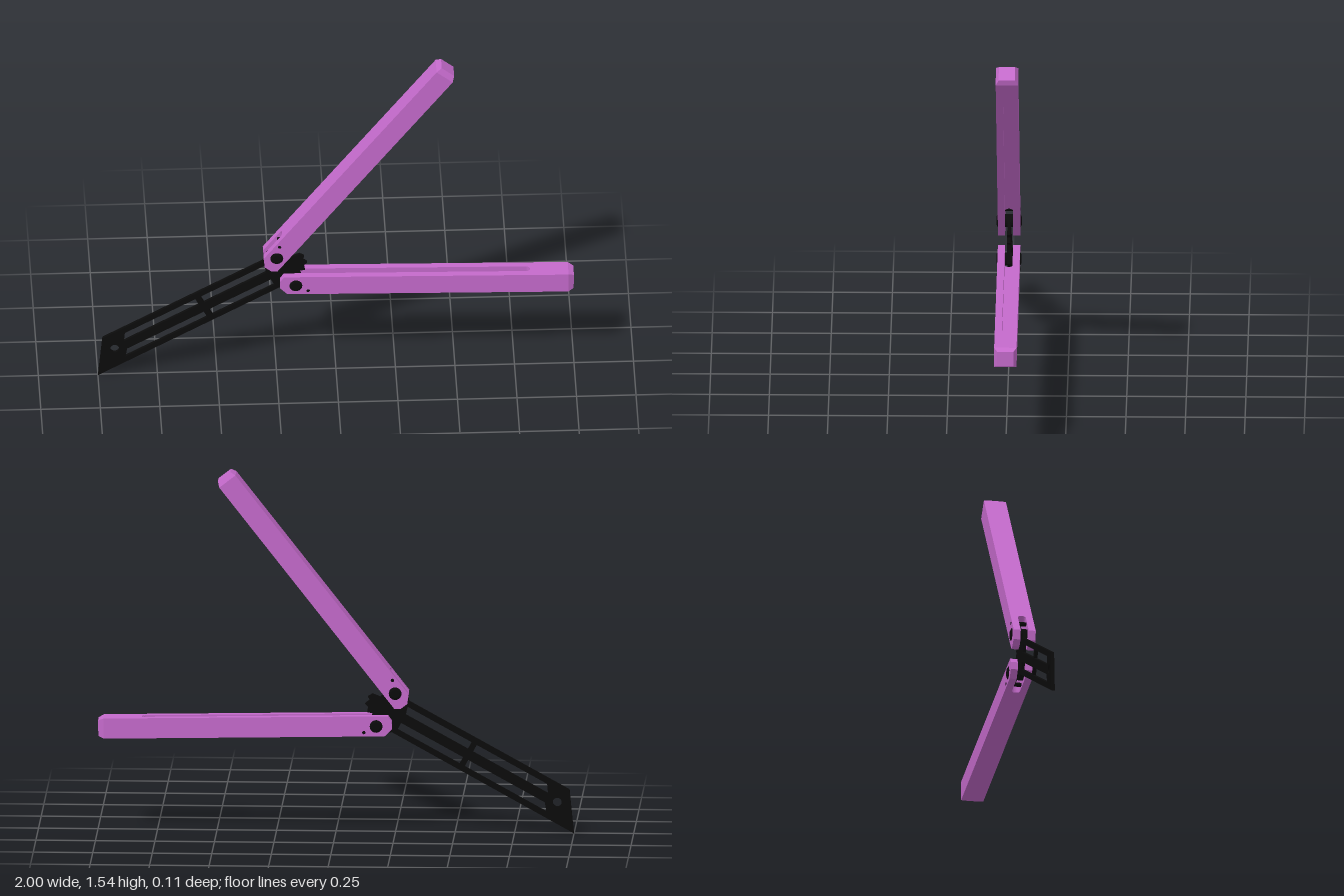
import * as THREE from 'three';

const purple = new THREE.MeshStandardMaterial({ color: 0xc46acb, flatShading: true });
const black = new THREE.MeshStandardMaterial({ color: 0x0b0b0b, flatShading: true });

const HALF_H = 0.043, HALF_Z = 0.047, GAP = 0.017, BODY_END = 1.145, TIP = 1.168;

function part(name, geometry, material, parent) {
  const mesh = new THREE.Mesh(geometry, material);
  mesh.name = name;
  parent.add(mesh);
  return mesh;
}

const polygon = (pts, Type = THREE.Shape) => new Type(pts.map(([x, y]) => new THREE.Vector2(x, y)));

const extrude = (shape, depth) =>
  new THREE.ExtrudeGeometry(shape, { depth, bevelEnabled: false, curveSegments: 10 });

// Half of the handle body: a U in plan whose round-ended slot stops at slotEnd
function channelLayer(slotEnd, y0, y1) {
  const s = new THREE.Shape();
  s.moveTo(0, -HALF_Z);
  s.lineTo(BODY_END, -HALF_Z);
  s.lineTo(BODY_END, HALF_Z);
  s.lineTo(0, HALF_Z);
  s.lineTo(0, GAP);
  s.lineTo(slotEnd - GAP, GAP);
  s.absarc(slotEnd - GAP, 0, GAP, Math.PI / 2, -Math.PI / 2, true);
  s.lineTo(0, -GAP);
  s.closePath();
  return extrude(s, y1 - y0).rotateX(-Math.PI / 2).translate(0, y0, 0);
}

// Domed pin across the handle
function pin(radius, reach) {
  const pts = [[0, -reach], [radius * 0.65, -reach], [radius, -reach + 0.005],
    [radius, reach - 0.005], [radius * 0.65, reach], [0, reach]];
  return new THREE.LatheGeometry(pts.map(([x, y]) => new THREE.Vector2(x, y)), 20).rotateX(Math.PI / 2);
}

// Handle lying along +x from its pivot, with the blade channel open towards +y
function makeHandle(name) {
  const g = new THREE.Group();
  g.name = name;
  part('outerBody', channelLayer(0.095, -HALF_H, 0), purple, g);
  part('channelBody', channelLayer(0.985, 0, HALF_H), purple, g);

  // Chamfered noses of the two fork tines
  const nose = polygon([[0, -HALF_H], [0, HALF_H], [-0.05, HALF_H], [-0.066, 0.02],
    [-0.066, -0.013], [-0.035, -HALF_H]]);
  for (const z of [-HALF_Z, GAP]) {
    part('tineNose', extrude(nose, HALF_Z - GAP).translate(0, 0, z), purple, g);
  }

  // Tapered end cap
  const cap = new THREE.BoxGeometry(TIP - BODY_END, HALF_H * 2, HALF_Z * 2);
  const p = cap.attributes.position;
  for (let i = 0; i < p.count; i++) {
    if (p.getX(i) > 0) p.setXYZ(i, p.getX(i), p.getY(i) * 0.77, p.getZ(i) * 0.73);
  }
  part('endCap', cap.translate((TIP + BODY_END) / 2, 0, 0), purple, g);

  part('pivotPin', pin(0.027, 0.053), black, g);
  part('stopPin', pin(0.009, 0.049), black, g).position.set(0.052, -0.026, 0);
  return g;
}

function makeBlade() {
  const g = new THREE.Group();
  g.name = 'blade';
  // Outline with slanted tip, wider tang and a notched tail
  const outline = polygon([[-0.945, -0.078], [-0.07, -0.076], [-0.035, -0.105], [0.03, -0.105],
    [0.04, -0.045], [0.062, -0.052], [0.07, -0.03], [0.088, -0.025], [0.078, 0],
    [0.092, 0.008], [0.08, 0.028], [0.045, 0.032], [0.03, 0.105], [-0.035, 0.105],
    [-0.07, 0.076], [-0.839, 0.076]]);
  // Two slots each side of the centre bar, split by a cross bar
  const slots = [
    [[-0.768, 0.018], [-0.407, 0.018], [-0.407, 0.052], [-0.745, 0.052]],
    [[-0.383, 0.018], [-0.085, 0.018], [-0.075, 0.052], [-0.383, 0.052]],
    [[-0.8, -0.054], [-0.407, -0.054], [-0.407, -0.022], [-0.775, -0.022]],
    [[-0.383, -0.054], [-0.085, -0.054], [-0.085, -0.022], [-0.383, -0.022]],
  ];
  for (const s of slots) outline.holes.push(polygon(s, THREE.Path));
  const hole = new THREE.Path();
  hole.absarc(-0.82, 0.004, 0.019, 0, Math.PI * 2, true);
  outline.holes.push(hole);
  part('bladePlate', extrude(outline, 0.014).translate(0, 0, -0.007), black, g);
  return g;
}

export function createModel() {
  const model = new THREE.Group();
  model.name = 'foldingTrainer';

  const blade = makeBlade();
  blade.position.set(-0.21, 0.527, 0);
  blade.rotation.z = THREE.MathUtils.degToRad(29);
  model.add(blade);

  const lower = makeHandle('lowerHandle');
  lower.position.set(-0.17, 0.459, 0);
  lower.rotation.z = THREE.MathUtils.degToRad(-1);
  model.add(lower);

  // Turned over so its channel faces the other handle
  const upper = makeHandle('upperHandle');
  upper.position.set(-0.25, 0.6, 0);
  upper.rotation.set(Math.PI, 0, THREE.MathUtils.degToRad(52), 'ZYX');
  model.add(upper);

  return model;
}
